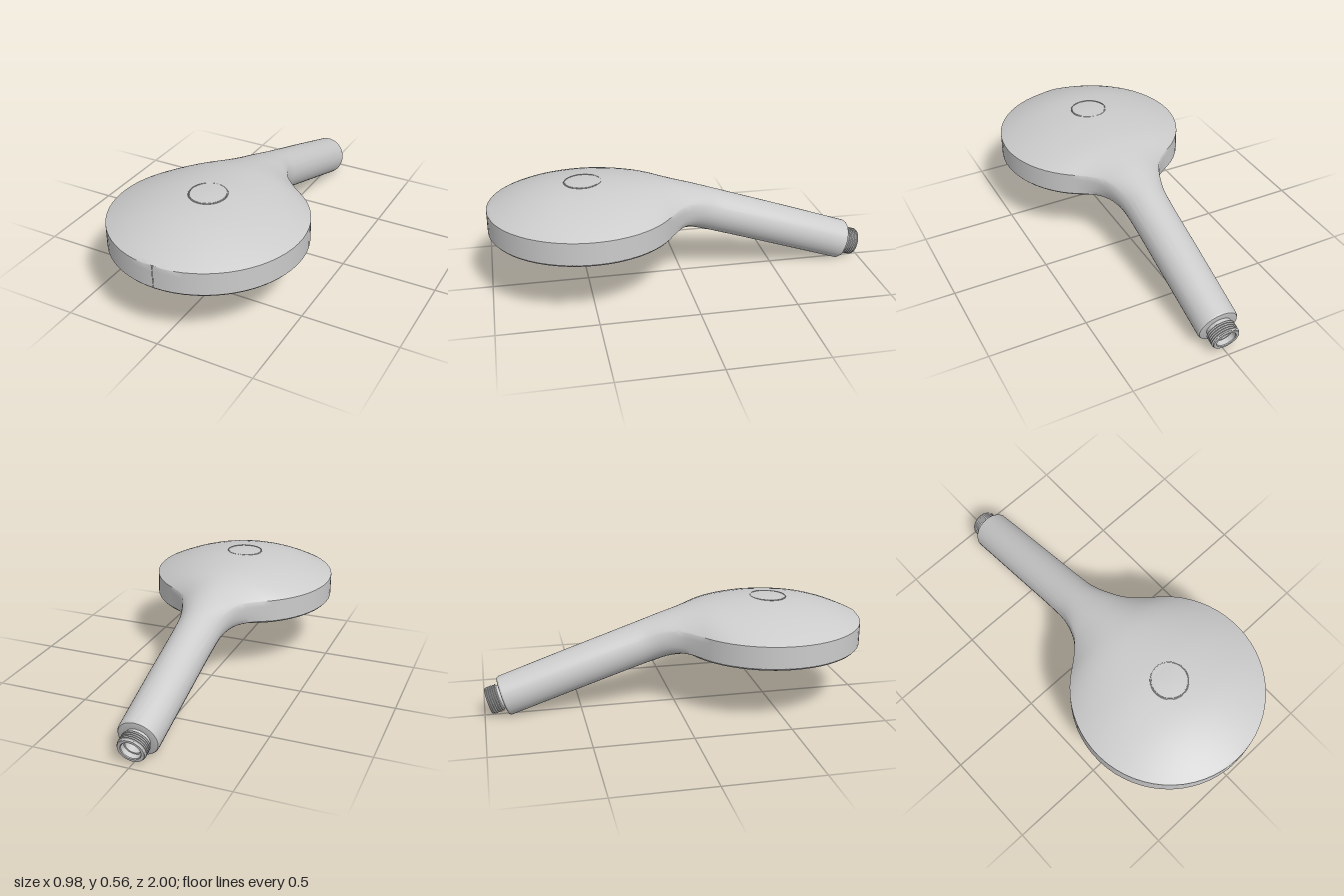
import * as THREE from 'three';
import { toCreasedNormals } from 'three/addons/utils/BufferGeometryUtils.js';

const HEAD_Z = 0.51, HEAD_R = 0.49, RIM_TOP = 0.44, RIM_LOW = 0.325;

// Stations along the body: [z, value]
const WIDTH = [[-0.9, 0.105], [-0.55, 0.109], [-0.2, 0.114], [-0.1, 0.13], [0, 0.172], [0.07, 0.235], [0.14, 0.322]];
const TOP = [[-0.9, 0.205], [-0.55, 0.325], [-0.2, 0.442], [-0.1, 0.475], [0, 0.507], [0.1, 0.533], [0.2, 0.55],
  [0.4, 0.562], [0.51, 0.56], [0.7, 0.543], [0.85, 0.505], [1, 0.445]];
const BOTTOM = [[-0.9, 0.002], [-0.55, 0.118], [-0.2, 0.232], [-0.1, 0.263], [0, 0.289], [0.08, 0.303], [0.15, 0.315], [0.25, 0.325], [1, 0.325]];

// Smooth cubic lookup through a station table
function lookup(table, s) {
  const last = table.length - 1;
  let i = 0;
  while (i < last - 1 && s > table[i + 1][0]) i++;
  const slope = (n) => {
    const a = table[Math.max(n - 1, 0)], b = table[Math.min(n + 1, last)];
    return (b[1] - a[1]) / (b[0] - a[0]);
  };
  const [x0, y0] = table[i], [x1, y1] = table[i + 1];
  const h = x1 - x0, t = (s - x0) / h, t2 = t * t, t3 = t2 * t;
  return (2 * t3 - 3 * t2 + 1) * y0 + (t3 - 2 * t2 + t) * h * slope(i)
    + (3 * t2 - 2 * t3) * y1 + (t3 - t2) * h * slope(i + 1);
}

// Body surface: v runs 0..1 over the dome, 1..2 down the wall, 2..3 under to the middle
function bodyPoint(s, v, side) {
  const W = s < 0.14 ? lookup(WIDTH, s) : Math.sqrt(Math.max(HEAD_R ** 2 - (s - HEAD_Z) ** 2, 1e-6));
  const Y = lookup(TOP, s), B = lookup(BOTTOM, s), mid = (Y + B) / 2;
  let u, y, deg;
  if (v <= 1) {
    u = Math.sin(v * Math.PI / 2);
    y = RIM_TOP + (Y - RIM_TOP) * (1 - u * u);
    deg = 90 - 65 * v;
  } else if (v <= 2) {
    u = 1;
    y = RIM_TOP + (RIM_LOW - RIM_TOP) * (v - 1);
    deg = 25 - 55 * (v - 1);
  } else {
    u = Math.cos((v - 2) * Math.PI / 2);
    y = RIM_LOW + (B - RIM_LOW) * (1 - u * u);
    deg = -30 - 60 * (v - 2);
  }
  // blend round handle section into the domed head section
  const w = THREE.MathUtils.smoothstep(s, -0.17, 0.13);
  const a = THREE.MathUtils.degToRad(deg);
  const x = W * THREE.MathUtils.lerp(Math.cos(a), u, w);
  y = THREE.MathUtils.lerp(mid + (Y - B) / 2 * Math.sin(a), y, w);
  const lean = 0.3 * (1 - THREE.MathUtils.smoothstep(s, -0.2, 0.15));
  return new THREE.Vector3(side * x, y, s - lean * (y - mid));
}

function bodyGeometry() {
  const stations = [];
  for (let i = 0; i < 8; i++) stations.push(-0.89 + 0.69 * i / 8);
  for (let i = 0; i < 17; i++) stations.push(-0.2 + 0.02 * i);
  const start = Math.acos((HEAD_Z - 0.14) / HEAD_R);
  for (let i = 0; i <= 24; i++) stations.push(HEAD_Z - HEAD_R * Math.cos(start + (Math.PI - start) * i / 24));

  const half = [];
  for (let i = 0; i < 12; i++) half.push(i / 12);
  for (let i = 0; i < 4; i++) half.push(1 + i / 4);
  for (let i = 0; i <= 7; i++) half.push(2 + i / 7);
  const loop = half.map((v) => [v, 1]).concat(half.slice(1, -1).reverse().map((v) => [v, -1]));

  const pos = [], index = [], n = loop.length;
  stations.forEach((s, i) => loop.forEach(([v, side], j) => {
    pos.push(...bodyPoint(s, v, side).toArray());
    if (i === stations.length - 1) return;
    const a = i * n + j, b = i * n + (j + 1) % n;
    index.push(a, a + n, b, b, a + n, b + n);
  }));
  const g = new THREE.BufferGeometry();
  g.setAttribute('position', new THREE.Float32BufferAttribute(pos, 3));
  g.setIndex(index);
  return toCreasedNormals(g, 0.7);
}

function lathe(points, segments, crease = 0.5) {
  const g = new THREE.LatheGeometry(points.map(([x, y]) => new THREE.Vector2(x, y)), segments);
  return toCreasedNormals(g, crease);
}

export function createModel() {
  const model = new THREE.Group();
  const material = new THREE.MeshStandardMaterial({ color: 0xcccccc });
  const add = (name, geometry, parent = model) => {
    const mesh = new THREE.Mesh(geometry, material);
    mesh.name = name;
    parent.add(mesh);
    return mesh;
  };

  // Head shell and handle in one flowing skin
  add('body', bodyGeometry());

  // Spray plate with shallow ring grooves and a small centre boss
  const plate = [[0, 0.302], [0.02, 0.302], [0.022, 0.306], [0.035, 0.306], [0.037, 0.302], [0.05, 0.302], [0.052, 0.306],
    [0.066, 0.306], [0.07, 0.303]];
  for (const r of [0.12, 0.2, 0.28, 0.36]) plate.push([r - 0.004, 0.303], [r, 0.306], [r + 0.004, 0.303]);
  plate.push([0.43, 0.304], [0.465, 0.309], [0.482, 0.316], [0.49, 0.326]);
  add('sprayPlate', lathe(plate, 64)).position.z = HEAD_Z;

  // Rings of spray nozzles
  const nozzles = new THREE.Group();
  nozzles.name = 'nozzles';
  model.add(nozzles);
  const nozzle = lathe([[0, 0], [0.011, 0], [0.016, 0.004], [0.018, 0.014]], 12);
  for (const [r, count] of [[0.16, 10], [0.24, 14], [0.32, 18], [0.395, 22]]) {
    for (let i = 0; i < count; i++) {
      const a = (i + 0.5) / count * Math.PI * 2;
      add('nozzle', nozzle, nozzles).position.set(r * Math.sin(a), 0.293, HEAD_Z + r * Math.cos(a));
    }
  }

  // Round button on the dome, following its slight tilt
  const button = new THREE.Group();
  button.name = 'button';
  button.position.set(0, 0.5575, HEAD_Z);
  button.rotation.x = 0.032;
  model.add(button);
  add('buttonCap', lathe([[0.09, -0.004], [0.089, 0.001], [0.06, 0.003], [0.03, 0.0045], [0, 0.005]], 40), button);
  add('buttonRing', new THREE.TorusGeometry(0.094, 0.0025, 6, 48).rotateX(Math.PI / 2), button);

  // Oval seam on the underside of the neck
  const seam = [];
  for (let i = 0; i < 32; i++) {
    const a = i / 32 * Math.PI * 2, c = Math.cos(a);
    seam.push(bodyPoint(-0.06 + 0.11 * Math.sin(a), 3 - 0.55 * Math.abs(c), Math.sign(c) || 1));
  }
  add('neckSeam', new THREE.TubeGeometry(new THREE.CatmullRomCurve3(seam, true), 64, 0.002, 5, true));

  // Rounded handle end and hollow threaded connector, built along the handle axis
  const connector = new THREE.Group();
  connector.name = 'connector';
  connector.position.set(0, 0.1065, -0.89);
  connector.quaternion.setFromUnitVectors(new THREE.Vector3(0, 1, 0), new THREE.Vector3(0, -0.3, -1).normalize());
  model.add(connector);
  add('handleEnd', lathe([[0.105, -0.004], [0.1045, 0.004], [0.1, 0.011], [0.094, 0.013], [0.06, 0.013]], 40), connector);
  const thread = [[0.064, 0.01], [0.064, 0.028]];
  for (let i = 0; i < 5; i++) thread.push([0.073, 0.032 + i * 0.011], [0.073, 0.035 + i * 0.011], [0.066, 0.039 + i * 0.011]);
  thread.push([0.07, 0.086], [0.067, 0.091], [0.053, 0.091], [0.05, 0.087], [0.05, 0.06], [0.042, 0.06], [0.042, 0.02], [0, 0.02]);
  add('threadedConnector', lathe(thread, 36), connector);

  return model;
}
